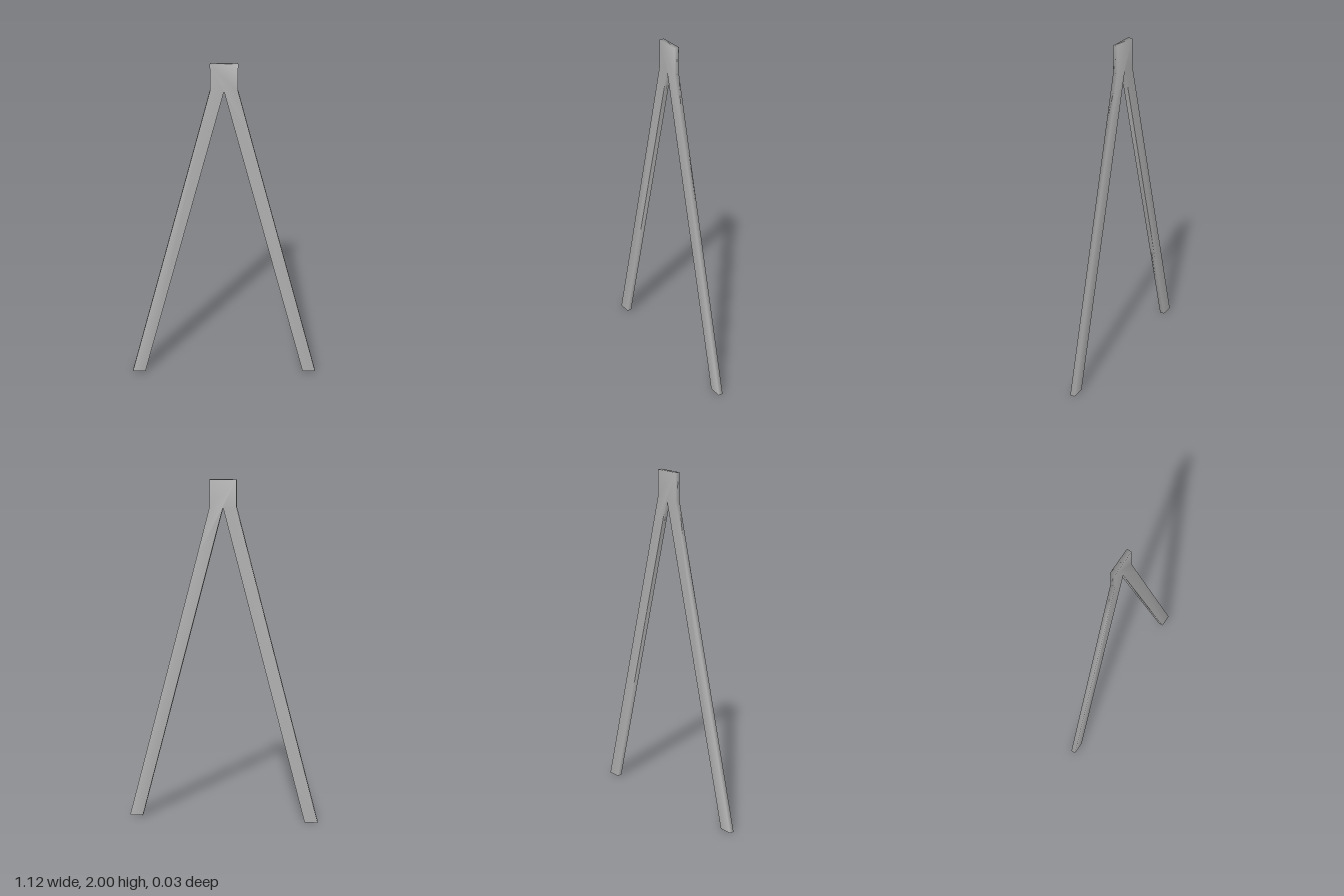
import * as THREE from 'three';
import { mergeVertices } from 'three/addons/utils/BufferGeometryUtils.js';

export function createModel() {
  const group = new THREE.Group();
  const grey = new THREE.MeshStandardMaterial({ color: 0xb0b0b0 });
  grey.name = 'plain grey';

  // right-hand half of the outline, from the top corner round to the crotch
  const half = [[0.077, 2], [0.077, 1.845], [0.15, 1.566], [0.562, 0], [0.485, 0], [0.073, 1.566]];
  const outline = [
    ...half,
    [0, 1.845],
    ...half.map(([x, y]) => [-x, y]).reverse(),
  ].map(([x, y]) => new THREE.Vector2(x, y));

  // flat bar with a short neck splitting into two splayed legs
  const depth = 0.028;
  let geometry = new THREE.ExtrudeGeometry(new THREE.Shape(outline), { depth, bevelEnabled: false });
  geometry.translate(0, 0, -depth / 2);

  // share corner vertices so the shading runs softly round the edges
  geometry.deleteAttribute('normal');
  geometry.deleteAttribute('uv');
  geometry.clearGroups();
  geometry = mergeVertices(geometry);
  geometry.computeVertexNormals();

  const frame = new THREE.Mesh(geometry, grey);
  frame.name = 'forkedLegFrame';
  group.add(frame);
  return group;
}
